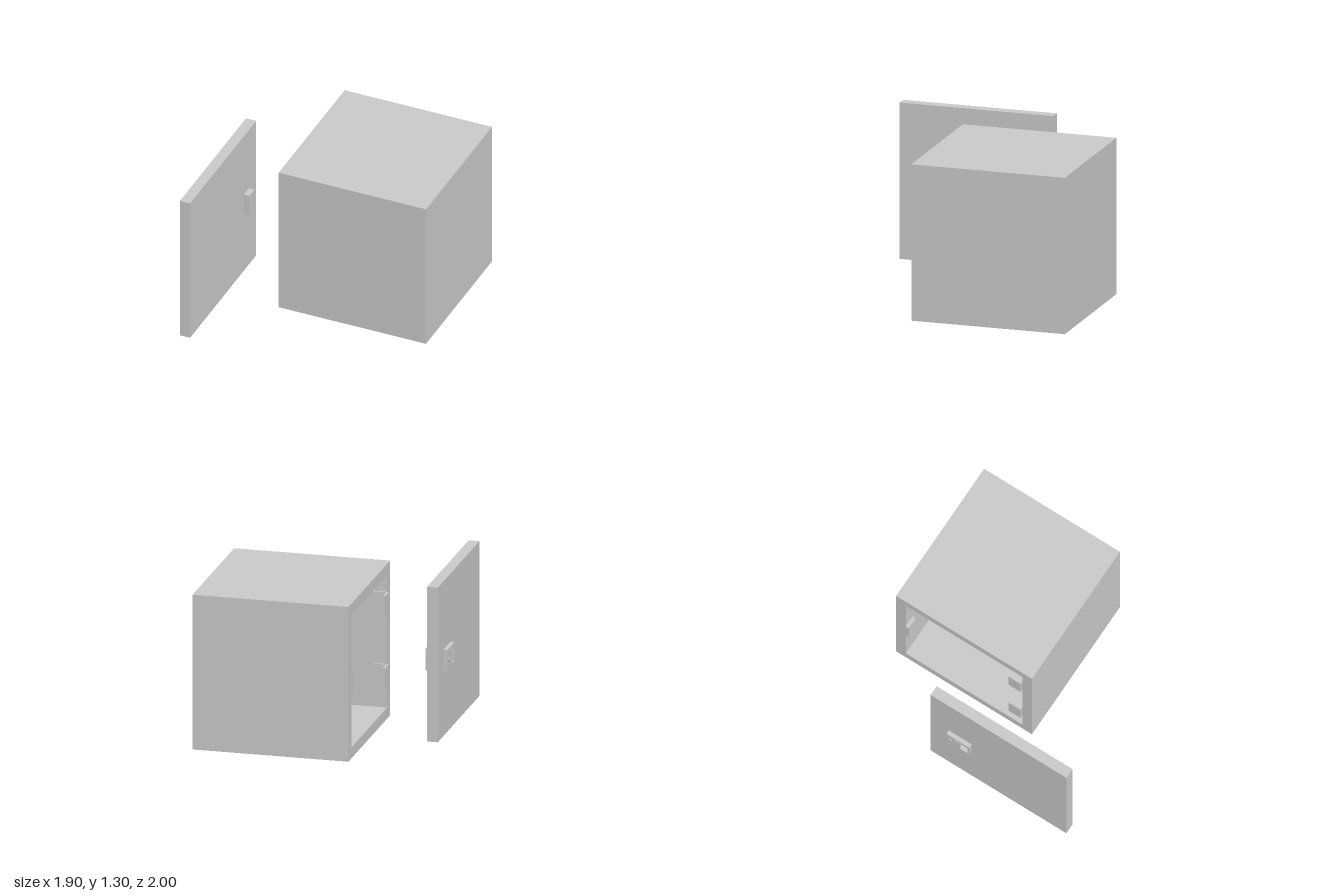
import * as THREE from 'three';

const material = new THREE.MeshStandardMaterial({ color: 0xcccccc, flatShading: true });

function addMesh(parent, name, geometry) {
  const mesh = new THREE.Mesh(geometry, material);
  mesh.name = name;
  parent.add(mesh);
  return mesh;
}

// Box given by its limits on each axis
function addBox(parent, name, [x0, x1], [y0, y1], [z0, z1]) {
  const geometry = new THREE.BoxGeometry(x1 - x0, y1 - y0, z1 - z0);
  geometry.translate((x0 + x1) / 2, (y0 + y1) / 2, (z0 + z1) / 2);
  return addMesh(parent, name, geometry);
}

function tracePath(path, [y0, y1], [z0, z1]) {
  path.moveTo(z0, y0);
  path.lineTo(z1, y0);
  path.lineTo(z1, y1);
  path.lineTo(z0, y1);
  path.closePath();
  return path;
}

// Rectangular frame in the z-y plane, running along x
function addFrame(parent, name, [x0, x1], outerY, outerZ, holeY, holeZ) {
  const shape = tracePath(new THREE.Shape(), outerY, outerZ);
  shape.holes.push(tracePath(new THREE.Path(), holeY, holeZ));
  const geometry = new THREE.ExtrudeGeometry(shape, { depth: x1 - x0, bevelEnabled: false });
  geometry.rotateY(-Math.PI / 2);
  geometry.translate(x1, 0, 0);
  return addMesh(parent, name, geometry);
}

export function createModel() {
  const model = new THREE.Group();
  model.name = 'openSafe';
  const height = 1.305, wall = 0.093;

  // Cabinet, open towards -x
  const cabinet = new THREE.Group();
  cabinet.name = 'cabinet';
  model.add(cabinet);
  addFrame(cabinet, 'cabinetWalls', [-0.35, 0.95 - wall], [0, height], [-1, 0.305],
    [wall, height - wall], [-1 + wall, 0.305 - wall]);
  addBox(cabinet, 'cabinetBackPanel', [0.95 - wall, 0.95], [0, height], [-1, 0.305]);

  // Two L-shaped hinges on the inner wall
  for (const y of [0.365, 0.975]) {
    const hinge = new THREE.Group();
    hinge.name = 'hinge';
    cabinet.add(hinge);
    const span = [y - 0.095, y + 0.095];
    addBox(hinge, 'hingeWallLeaf', [-0.345, -0.233], span, [0.195, 0.212]);
    addBox(hinge, 'hingeDoorLeaf', [-0.365, -0.345], span, [0.09, 0.205]);
  }

  // Strike plate facing the hinges
  addBox(cabinet, 'strikePlate', [-0.355, -0.25], [0.55, 0.74], [-1 + wall, -0.875]);

  // Detached door
  const door = new THREE.Group();
  door.name = 'door';
  model.add(door);
  addBox(door, 'doorPanel', [-0.91, -0.82], [0, height], [-0.305, 1]);

  // Inner lock case with its bolt
  addBox(door, 'lockCase', [-0.82, -0.77], [0.55, 0.74], [-0.16, -0.06]);
  addBox(door, 'lockBolt', [-0.8, -0.78], [0.57, 0.72], [-0.187, -0.16]);

  // Outer handle plate with a finger recess, key cylinder and pull bar
  addFrame(door, 'handlePlate', [-0.945, -0.91], [0.555, 0.73], [-0.13, 0.09],
    [0.578, 0.708], [0, 0.075]);
  addBox(door, 'pullBar', [-0.95, -0.945], [0.578, 0.705], [-0.05, -0.01]);
  const key = new THREE.CylinderGeometry(0.02, 0.02, 0.007, 20);
  key.rotateZ(Math.PI / 2);
  addMesh(door, 'keyCylinder', key).position.set(-0.9475, 0.642, -0.1);

  return model;
}
